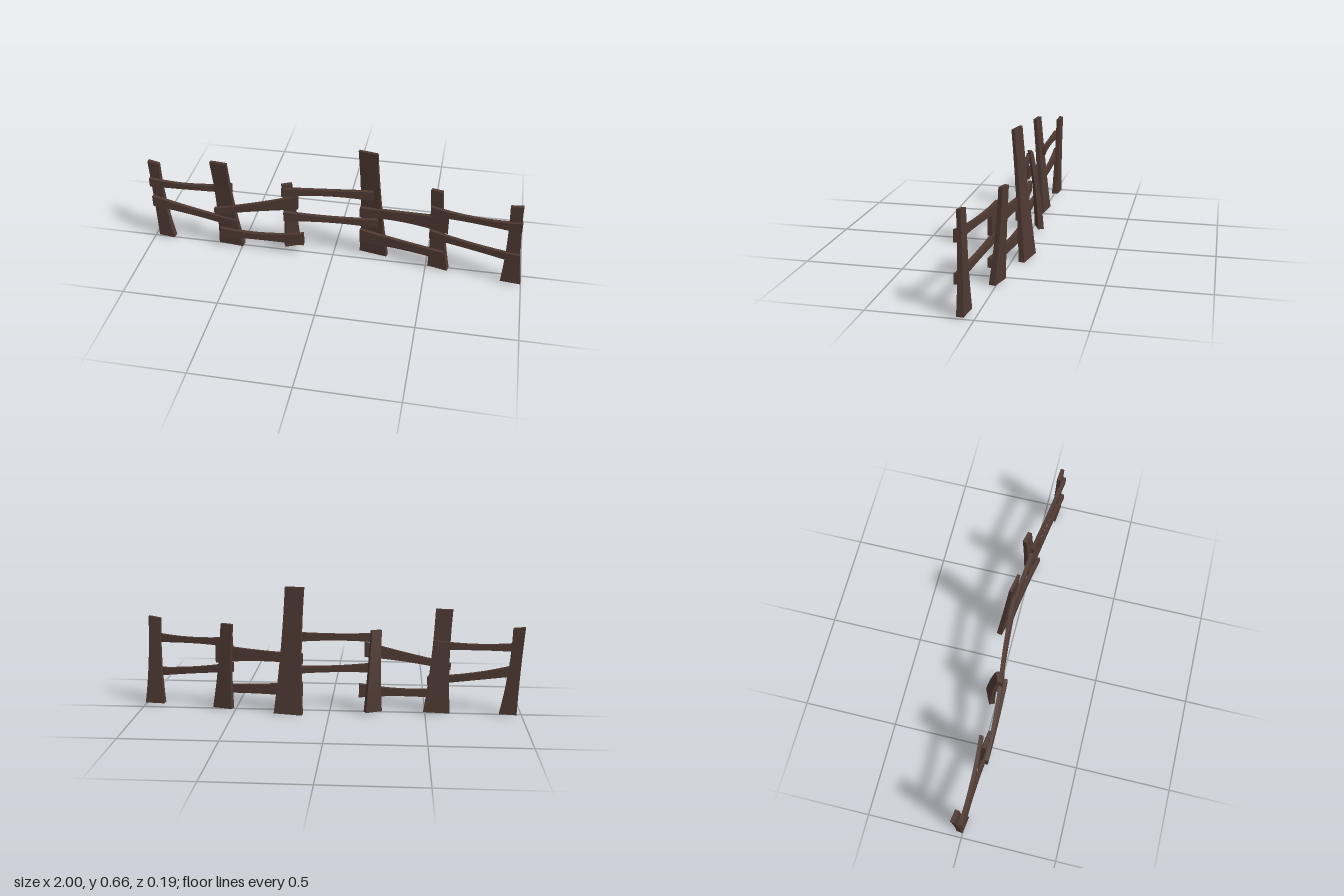
import * as THREE from 'three';

// Smooth value through three samples at t = 0, 0.5, 1
const through = (a, b, c, t) =>
  a * (1 - t) * (1 - 2 * t) + b * 4 * t * (1 - t) + c * t * (2 * t - 1);
const blend = (s, t) => s[0].map((v, i) => through(v, s[1][i], s[2][i], t));

// Four-sided beam lofted through rings of corners; sharp long edges, smooth along the length
function beam(ringAt, steps = 8) {
  const pos = [], index = [];
  const rings = Array.from({ length: steps + 1 }, (_, i) => ringAt(i / steps));
  const add = (v) => pos.push(v.x, v.y, v.z) / 3 - 1;
  for (let k = 0; k < 4; k++) {
    const strip = rings.map((r) => [add(r[k]), add(r[(k + 1) % 4])]);
    for (let i = 0; i < steps; i++) {
      const [a, b] = strip[i], [d, c] = strip[i + 1];
      index.push(a, b, c, a, c, d);
    }
  }
  const e = rings[steps].map(add), s = rings[0].map(add);
  index.push(e[0], e[1], e[2], e[0], e[2], e[3], s[0], s[2], s[1], s[0], s[3], s[2]);
  const g = new THREE.BufferGeometry();
  g.setAttribute('position', new THREE.Float32BufferAttribute(pos, 3));
  g.setIndex(index);
  g.computeVertexNormals();
  return g;
}

// Corners of a section, counter-clockwise about the beam's direction
const ring = (c, u, v) => [[-1, -1], [1, -1], [1, 1], [-1, 1]].map(([a, b]) =>
  c.clone().addScaledVector(u, a / 2).addScaledVector(v, b / 2));

// Upright plank: sections are [x, y, z, width, depth] from foot to top
function postGeometry({ yaw, slope = 0, sections }) {
  const a = THREE.MathUtils.degToRad(yaw);
  return beam((t) => {
    const [x, y, z, w, d] = blend(sections, t);
    const across = new THREE.Vector3(Math.cos(a), slope * t, -Math.sin(a)).multiplyScalar(w);
    const deep = new THREE.Vector3(Math.sin(a), 0, Math.cos(a)).multiplyScalar(d);
    return ring(new THREE.Vector3(x, y, z), deep, across);
  });
}

// Cross rail: sections are [x, y, z, height]
function railGeometry(sections) {
  return beam((t) => {
    const [x, y, z, h] = blend(sections, t);
    return ring(new THREE.Vector3(x, y, z), new THREE.Vector3(0, h, 0), new THREE.Vector3(0, 0, 0.02));
  });
}

// Posts from right to left of the model
const posts = [
  { yaw: -8, slope: -0.12, sections: [[-0.93, 0.008, -0.01, 0.09, 0.034], [-0.953, 0.24, -0.013, 0.062, 0.026], [-0.967, 0.47, -0.018, 0.063, 0.022]] },
  { yaw: -6, sections: [[-0.56, 0.008, -0.002, 0.137, 0.036], [-0.574, 0.278, 0.021, 0.095, 0.026], [-0.59, 0.547, 0.047, 0.089, 0.02]] },
  { yaw: 25, sections: [[-0.228, 0.015, -0.038, 0.09, 0.032], [-0.233, 0.227, -0.02, 0.066, 0.024], [-0.24, 0.438, 0.014, 0.056, 0.02]] },
  { yaw: -11, sections: [[0.213, 0.001, -0.066, 0.152, 0.03], [0.198, 0.33, -0.037, 0.108, 0.022], [0.18, 0.663, -0.006, 0.1, 0.016]] },
  { yaw: -15, slope: 0.03, sections: [[0.567, 0.006, 0.003, 0.108, 0.034], [0.55, 0.236, -0.011, 0.07, 0.026], [0.533, 0.468, -0.022, 0.062, 0.022]] },
  { yaw: -6, slope: 0.15, sections: [[0.947, 0.009, 0.058, 0.104, 0.034], [0.94, 0.24, 0.062, 0.068, 0.024], [0.933, 0.48, 0.067, 0.064, 0.02]] },
];

// Two rails for each gap between posts
const rails = [
  [[-0.99, 0.361, 0.01, 0.048], [-0.77, 0.358, 0.013, 0.03], [-0.54, 0.367, 0.0, 0.05]],
  [[-0.985, 0.242, 0.01, 0.062], [-0.75, 0.2, 0.016, 0.038], [-0.51, 0.168, 0.038, 0.045]],
  [[-0.63, 0.243, 0.046, 0.036], [-0.405, 0.29, 0.038, 0.046], [-0.18, 0.335, 0.02, 0.08]],
  [[-0.61, 0.1, 0.034, 0.058], [-0.38, 0.1, 0.035, 0.038], [-0.152, 0.108, 0.028, 0.074]],
  [[-0.265, 0.395, 0.03, 0.05], [-0.03, 0.402, 0.002, 0.034], [0.21, 0.402, -0.012, 0.055]],
  [[-0.26, 0.238, 0.02, 0.056], [-0.013, 0.232, -0.003, 0.032], [0.235, 0.227, -0.02, 0.05]],
  [[0.14, 0.288, -0.022, 0.055], [0.37, 0.297, -0.004, 0.056], [0.605, 0.296, 0.028, 0.098]],
  [[0.14, 0.128, -0.034, 0.08], [0.365, 0.116, -0.005, 0.05], [0.59, 0.105, 0.035, 0.048]],
  [[0.51, 0.364, 0.012, 0.054], [0.74, 0.361, 0.05, 0.03], [0.97, 0.367, 0.084, 0.058]],
  [[0.51, 0.225, 0.018, 0.05], [0.74, 0.196, 0.05, 0.034], [0.975, 0.174, 0.084, 0.05]],
];

export function createModel() {
  const group = new THREE.Group();
  group.name = 'woodenFence';
  const wood = new THREE.MeshStandardMaterial({ color: 0x4e3932 });
  wood.name = 'darkWood';
  const addMesh = (name, geometry) => {
    const mesh = new THREE.Mesh(geometry, wood);
    mesh.name = name;
    group.add(mesh);
  };
  posts.forEach((p, i) => addMesh(`post${i + 1}`, postGeometry(p)));
  rails.forEach((r, i) =>
    addMesh(`${i % 2 ? 'lower' : 'upper'}Rail${Math.floor(i / 2) + 1}`, railGeometry(r)));
  return group;
}
